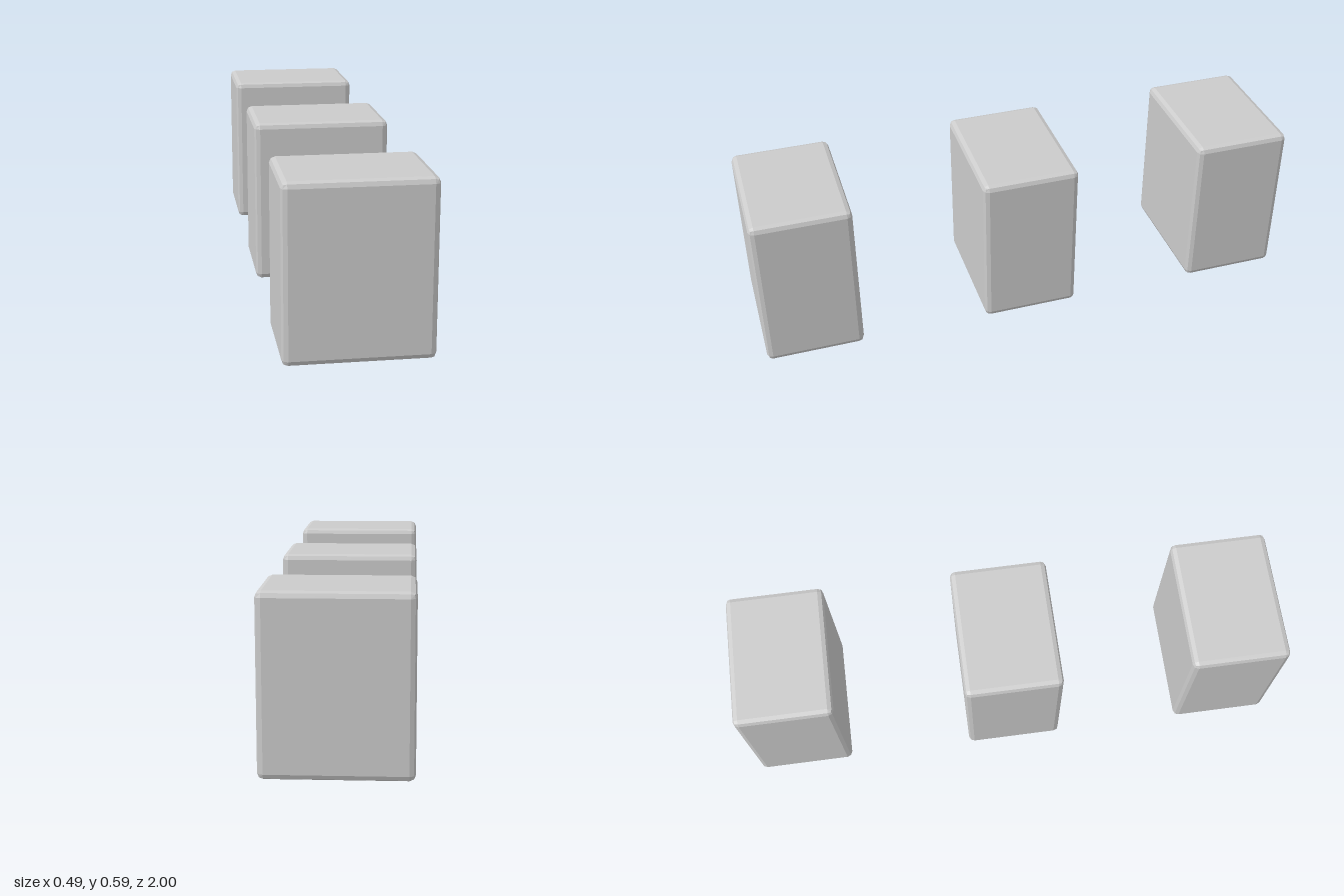
import * as THREE from 'three';
import { RoundedBoxGeometry } from 'three/addons/geometries/RoundedBoxGeometry.js';

const WIDTH = 0.49, HEIGHT = 0.59, DEPTH = 0.356, BEVEL = 0.02;
const SPACING = 0.822;

export function createModel() {
  const model = new THREE.Group();
  model.name = 'blockRow';

  const material = new THREE.MeshStandardMaterial({ color: 0xcccccc, flatShading: true });

  // One bevelled block (two facets along each edge), shared by the whole row
  const geometry = new RoundedBoxGeometry(WIDTH, HEIGHT, DEPTH, 1, BEVEL);

  // Three equal blocks, evenly spaced from back to front
  ['backBlock', 'middleBlock', 'frontBlock'].forEach((name, i) => {
    const block = new THREE.Mesh(geometry, material);
    block.name = name;
    block.position.set(0, HEIGHT / 2, (i - 1) * SPACING);
    model.add(block);
  });

  return model;
}
